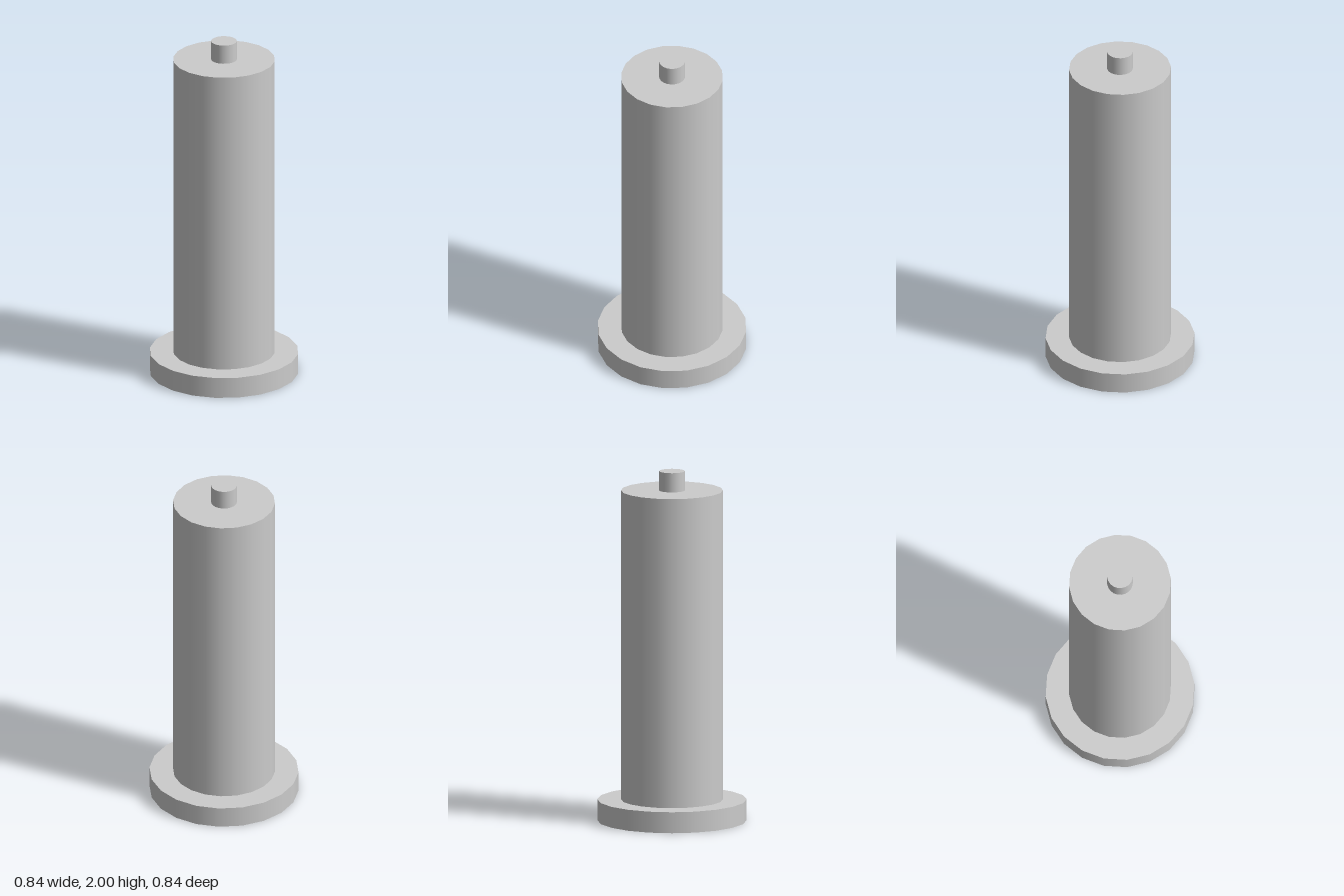
import * as THREE from 'three';

const SIDES = 20;

export function createModel() {
  const model = new THREE.Group();
  const material = new THREE.MeshStandardMaterial({ color: 0xcccccc });

  // Upright cylinder spanning two heights
  const addCylinder = (name, radius, bottom, top) => {
    const geometry = new THREE.CylinderGeometry(radius, radius, top - bottom, SIDES);
    const mesh = new THREE.Mesh(geometry, material);
    mesh.name = name;
    mesh.position.y = (bottom + top) / 2;
    model.add(mesh);
  };

  addCylinder('baseFlange', 0.421, 0, 0.12);
  addCylinder('body', 0.288, 0.12, 1.89);
  addCylinder('topPin', 0.073, 1.89, 2);

  return model;
}
